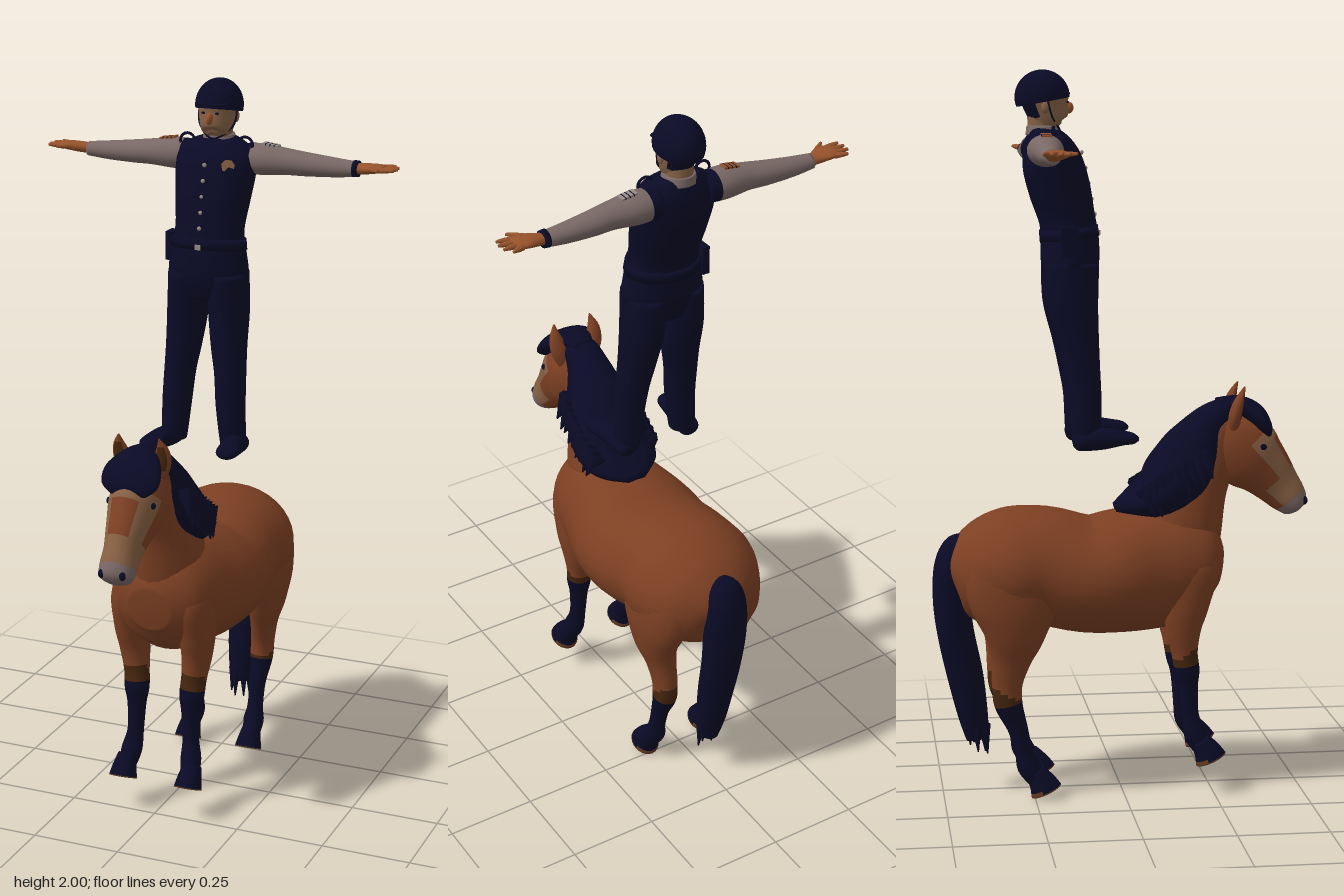
import * as THREE from 'three';

const mat = (name, color) => {
  const m = new THREE.MeshStandardMaterial({ color });
  m.name = name;
  return m;
};

export function createModel() {
  const coat = mat('chestnut coat', 0x7d4023), darkCoat = mat('dark coat', 0x47260f);
  const navy = mat('navy', 0x0a0a26), blaze = mat('pale blaze', 0x876043);
  const muzzle = mat('grey muzzle', 0x7a6866), hoofMat = mat('hoof brown', 0x643c22);
  const skin = mat('hand skin', 0x96522b), face = mat('face skin', 0x876347);
  const sleeve = mat('sleeve grey', 0x796865), metal = mat('pale metal', 0x968a84);
  navy.side = THREE.DoubleSide; // the helmet shell is open below

  const root = new THREE.Group();
  const group = (name) => {
    const g = new THREE.Group();
    g.name = name;
    root.add(g);
    return g;
  };
  const horse = group('horse'), rider = group('rider');
  const X = new THREE.Vector3(1, 0, 0), Z = new THREE.Vector3(0, 0, 1);

  // Smooth skin over elliptical sections [x, y, z, half width along side, half depth].
  // paint(u, sin) picks a material index from section position and ring angle.
  function loft(parent, name, sections, mats, { side = X, seg = 24, steps = 5, paint = () => 0 } = {}) {
    const n = sections.length - 1, rings = n * steps + 1;
    const sample = (k, c) => {
      const i = Math.min(Math.floor(k / steps), n - 1), f = k / steps - i;
      const at = (q) => sections[Math.max(0, Math.min(n, q))][c];
      const [a, b, d, e] = [at(i - 1), at(i), at(i + 1), at(i + 2)];
      return b + 0.5 * f * (d - a + f * (2 * a - 5 * b + 4 * d - e + f * (3 * (b - d) + e - a)));
    };
    const centre = [...Array(rings).keys()].map((k) => new THREE.Vector3(sample(k, 0), sample(k, 1), sample(k, 2)));
    const pos = [], buckets = [].concat(mats).map(() => []);
    centre.forEach((p, k) => {
      const t = centre[Math.min(k + 1, rings - 1)].clone().sub(centre[Math.max(k - 1, 0)]).normalize();
      const U = side.clone().addScaledVector(t, -side.dot(t)).normalize();
      const V = t.clone().cross(U);
      const a = Math.max(sample(k, 3), 0.001), b = Math.max(sample(k, 4), 0.001);
      for (let j = 0; j < seg; j++) {
        const w = (j / seg) * Math.PI * 2;
        const v = p.clone().addScaledVector(U, a * Math.cos(w)).addScaledVector(V, b * Math.sin(w));
        pos.push(v.x, v.y, v.z);
      }
    });
    const id = (k, j) => k * seg + (j % seg), first = rings * seg;
    pos.push(...centre[0].toArray(), ...centre[rings - 1].toArray());
    for (let j = 0; j < seg; j++) {
      const s = Math.sin(((j + 0.5) / seg) * Math.PI * 2);
      for (let k = 0; k < rings - 1; k++) {
        buckets[paint((k + 0.5) / steps, s)].push(
          id(k, j), id(k, j + 1), id(k + 1, j + 1), id(k, j), id(k + 1, j + 1), id(k + 1, j));
      }
      buckets[paint(0, s)].push(first, id(0, j + 1), id(0, j));
      buckets[paint(n, s)].push(first + 1, id(rings - 1, j), id(rings - 1, j + 1));
    }
    const g = new THREE.BufferGeometry();
    g.setAttribute('position', new THREE.Float32BufferAttribute(pos, 3));
    g.setIndex(buckets.flat());
    let start = 0;
    if (buckets.length > 1) buckets.forEach((b, i) => { g.addGroup(start, b.length, i); start += b.length; });
    g.computeVertexNormals();
    return add(parent, name, g, mats);
  }
  function add(parent, name, geo, m, p = [0, 0, 0], s = [1, 1, 1], r = [0, 0, 0]) {
    const mesh = new THREE.Mesh(geo, m);
    mesh.name = name;
    mesh.position.set(...p);
    mesh.scale.set(...s);
    mesh.rotation.set(...r);
    parent.add(mesh);
    return mesh;
  }
  const ball = new THREE.SphereGeometry(1, 20, 14);
  const mirror = (s, list) => list.map(([x, ...rest]) => [x * s, ...rest]);
  const strand = (name, p, q, r) => loft(horse, name, [[...p, r, r], [...q, 0.002, 0.002]], navy, { seg: 8, steps: 1 });

  // Horse trunk, neck and head
  loft(horse, 'body', [
    [0, 0.6, -0.47, 0.03, 0.04], [0, 0.605, -0.455, 0.095, 0.095], [0, 0.615, -0.4, 0.16, 0.14],
    [0, 0.632, -0.31, 0.193, 0.168], [0, 0.638, -0.22, 0.188, 0.165], [0, 0.612, -0.1, 0.2, 0.163],
    [0, 0.618, 0, 0.196, 0.172], [0, 0.63, 0.1, 0.167, 0.175], [0, 0.635, 0.18, 0.15, 0.16],
    [0, 0.63, 0.245, 0.122, 0.12], [0, 0.625, 0.28, 0.06, 0.06]], coat, { seg: 36 });
  loft(horse, 'neck', [
    [0, 0.65, 0.13, 0.12, 0.14], [0, 0.75, 0.16, 0.105, 0.13], [0, 0.86, 0.2, 0.08, 0.105],
    [0, 0.95, 0.245, 0.064, 0.088], [0, 1.02, 0.285, 0.055, 0.065], [0, 1.06, 0.31, 0.035, 0.03]], coat);
  loft(horse, 'head', [
    [0, 1.04, 0.28, 0.045, 0.035], [0, 0.995, 0.315, 0.068, 0.085], [0, 0.94, 0.36, 0.072, 0.1],
    [0, 0.895, 0.407, 0.06, 0.08], [0, 0.85, 0.447, 0.05, 0.063], [0, 0.815, 0.477, 0.05, 0.052],
    [0, 0.79, 0.495, 0.044, 0.038], [0, 0.78, 0.502, 0.018, 0.016]], [coat, blaze, muzzle], {
    seg: 32,
    paint: (u, s) => (u > 5 ? 2 : u > 3.6 && s > -0.6 ? 1 : u > 1.6 && s > 0.1 && (s < 0.85 || u < 2.2) ? 1 : 0),
  });

  // Mane and forelock
  loft(horse, 'mane', [
    [0, 0.795, -0.015, 0.03, 0.015], [0, 0.81, 0.035, 0.095, 0.04], [0, 0.835, 0.107, 0.114, 0.083],
    [0, 0.884, 0.163, 0.11, 0.098], [0, 0.955, 0.206, 0.087, 0.088], [0, 1.025, 0.25, 0.062, 0.058],
    [0, 1.065, 0.295, 0.048, 0.035], [0, 1.075, 0.33, 0.02, 0.015]], navy);
  loft(horse, 'forelock', [
    [0, 1.085, 0.27, 0.03, 0.015], [0, 1.08, 0.33, 0.055, 0.025], [0, 1.055, 0.375, 0.08, 0.03],
    [0, 1.02, 0.402, 0.08, 0.023], [0, 0.995, 0.412, 0.05, 0.012]], navy);

  for (const s of [1, -1]) {
    const sideName = s > 0 ? 'left' : 'right';
    for (let i = 0; i < 9; i++) {
      const z = 0.06 + i * 0.02, y = 0.83 + i * 0.013;
      strand(sideName + 'ManeLock', [s * 0.082, y + 0.03, z], [s * 0.108, y - 0.045 - 0.012 * (i % 2), z + 0.024], 0.03);
    }
    // Ears, eyes and nostrils
    loft(horse, sideName + 'Ear', mirror(s, [
      [0.042, 1.02, 0.31, 0.02, 0.016], [0.055, 1.06, 0.315, 0.026, 0.018],
      [0.062, 1.1, 0.325, 0.019, 0.013], [0.058, 1.137, 0.34, 0.002, 0.002]]), [coat, darkCoat],
    { seg: 16, paint: (u, a) => (u > 0.8 && u < 2.5 && a < -0.7 ? 1 : 0) });
    add(horse, sideName + 'Eye', ball, navy, [s * 0.064, 0.968, 0.392], [0.006, 0.009, 0.01]);
    add(horse, sideName + 'Nostril', ball, navy, [s * 0.03, 0.81, 0.516], [0.009, 0.012, 0.009]);

    // Front and hind legs
    loft(horse, sideName + 'FrontLeg', mirror(s, [
      [0.07, 0.71, 0.18, 0.03, 0.04], [0.09, 0.64, 0.18, 0.055, 0.083],
      [0.097, 0.54, 0.172, 0.05, 0.066], [0.094, 0.47, 0.166, 0.043, 0.05],
      [0.087, 0.4, 0.17, 0.036, 0.037], [0.083, 0.345, 0.178, 0.035, 0.035], [0.082, 0.3, 0.182, 0.027, 0.027],
      [0.084, 0.22, 0.187, 0.023, 0.024], [0.09, 0.165, 0.2, 0.029, 0.031], [0.095, 0.125, 0.222, 0.025, 0.027]]),
    [coat, darkCoat, navy], { paint: (u, a) => (u > 4.6 ? 2 : u > 4 - 0.3 * a ? 1 : 0) });
    loft(horse, sideName + 'HindLeg', mirror(s, [
      [0.075, 0.73, -0.3, 0.03, 0.06], [0.1, 0.66, -0.31, 0.075, 0.125], [0.115, 0.56, -0.305, 0.072, 0.125],
      [0.118, 0.47, -0.305, 0.055, 0.086],
      [0.108, 0.4, -0.315, 0.04, 0.058], [0.1, 0.33, -0.325, 0.034, 0.043], [0.097, 0.27, -0.322, 0.033, 0.039],
      [0.095, 0.2, -0.297, 0.024, 0.028], [0.095, 0.13, -0.28, 0.023, 0.025], [0.095, 0.09, -0.268, 0.03, 0.031],
      [0.097, 0.055, -0.245, 0.025, 0.027]]),
    [coat, darkCoat, navy], { paint: (u, a) => (u > 6 ? 2 : u > 5.5 + 0.4 * a ? 1 : 0) });
    [['FrontHoof', 0.099, 0.15, 0.212], ['HindHoof', 0.097, 0.075, -0.25]].forEach(([name, x, y, z]) =>
      loft(horse, sideName + name, mirror(s, [
        [x, y, z, 0.026, 0.027], [x, y - 0.033, z + 0.021, 0.034, 0.038], [x, y - 0.056, z + 0.032, 0.039, 0.045]]),
      [navy, hoofMat], { paint: (u, a) => (u > (a < -0.2 ? 1.4 : 1.8) ? 1 : 0) }));
  }

  // Tail with ragged tip
  loft(horse, 'tail', [
    [0, 0.715, -0.435, 0.025, 0.02], [0, 0.695, -0.462, 0.05, 0.032], [0, 0.64, -0.476, 0.061, 0.043],
    [0, 0.55, -0.472, 0.062, 0.051], [0, 0.45, -0.46, 0.057, 0.051], [0, 0.33, -0.435, 0.05, 0.05],
    [0, 0.22, -0.415, 0.042, 0.042], [0, 0.15, -0.402, 0.03, 0.032]], navy);
  for (let i = 0; i < 7; i++) {
    const w = i * 2.4, x = 0.025 * Math.cos(w), z = -0.403 + 0.024 * Math.sin(w);
    strand('tailLock', [x, 0.19, z], [x * 1.2, 0.105 + 0.012 * (i % 3), z + 0.005], 0.014);
  }

  // Rider's torso, belt and vest fittings
  loft(rider, 'torso', [
    [0, 1.41, -0.14, 0.08, 0.06], [0, 1.47, -0.138, 0.114, 0.078], [0, 1.54, -0.139, 0.107, 0.08],
    [0, 1.6, -0.146, 0.098, 0.077], [0, 1.68, -0.166, 0.107, 0.084], [0, 1.75, -0.186, 0.115, 0.082],
    [0, 1.8, -0.202, 0.112, 0.066], [0, 1.832, -0.21, 0.075, 0.045], [0, 1.845, -0.21, 0.035, 0.03]], navy, { seg: 32 });
  loft(rider, 'belt', [[0, 1.545, -0.139, 0.109, 0.082], [0, 1.575, -0.142, 0.105, 0.081]], navy, { steps: 2 });
  add(rider, 'buckle', new THREE.BoxGeometry(0.016, 0.014, 0.006), metal, [0, 1.56, -0.058]);
  add(rider, 'holster', new THREE.BoxGeometry(0.02, 0.08, 0.045), navy, [-0.115, 1.54, -0.15]);
  for (let i = 0; i < 5; i++) {
    add(rider, 'button', ball, metal, [0, 1.61 + i * 0.042, -0.069 - i * 0.0085 - (i > 3 ? 0.002 : 0)], [0.006, 0.006, 0.005]);
  }
  add(rider, 'badge', new THREE.CylinderGeometry(0.019, 0.019, 0.009, 7), blaze, [0.06, 1.775, -0.126], [1, 1, 1], [1.3, 0, -0.5]);

  // Neck, collar, head and helmet
  loft(rider, 'neck', [[0, 1.82, -0.215, 0.036, 0.036], [0, 1.9, -0.212, 0.038, 0.042]], face);
  loft(rider, 'collar', [[0, 1.825, -0.212, 0.052, 0.046], [0, 1.85, -0.212, 0.042, 0.043]], sleeve);
  loft(rider, 'head', [
    [0, 1.842, -0.175, 0.02, 0.022], [0, 1.856, -0.186, 0.04, 0.046], [0, 1.9, -0.2, 0.051, 0.06],
    [0, 1.94, -0.207, 0.054, 0.067], [0, 1.98, -0.21, 0.035, 0.045]], [face, navy],
  { paint: (u, s) => (u > 1.5 && s > 0.4 ? 1 : 0) });
  add(rider, 'nose', ball, skin, [0, 1.898, -0.14], [0.009, 0.016, 0.013]);
  add(rider, 'helmet', new THREE.SphereGeometry(1, 28, 16, 0, Math.PI * 2, 0, Math.PI * 0.56), navy,
    [0, 1.927, -0.212], [0.065, 0.073, 0.075], [-0.18, 0, 0]);
  add(rider, 'visor', ball, navy, [0, 1.937, -0.158], [0.05, 0.006, 0.022], [0.05, 0, 0]);
  const strap = new THREE.CatmullRomCurve3([[-0.056, 1.93, -0.205], [-0.049, 1.875, -0.19], [0, 1.84, -0.165],
    [0.049, 1.875, -0.19], [0.056, 1.93, -0.205]].map((p) => new THREE.Vector3(...p)));
  add(rider, 'chinStrap', new THREE.TubeGeometry(strap, 24, 0.003, 6), navy);

  for (const s of [1, -1]) {
    const sideName = s > 0 ? 'left' : 'right';
    add(rider, sideName + 'Eye', ball, navy, [s * 0.02, 1.913, -0.145], [0.006, 0.003, 0.004]);
    add(rider, sideName + 'Ear', ball, face, [s * 0.052, 1.9, -0.208], [0.007, 0.017, 0.011]);
    add(rider, sideName + 'ShoulderLoop', new THREE.TorusGeometry(0.022, 0.004, 6, 16), navy, [s * 0.085, 1.825, -0.19]);
    // Arm: vest armhole, then sleeve
    loft(rider, sideName + 'Arm', mirror(s, [
      [0.07, 1.785, -0.215, 0.045, 0.04], [0.13, 1.785, -0.215, 0.049, 0.043], [0.2, 1.783, -0.215, 0.04, 0.036],
      [0.26, 1.779, -0.219, 0.036, 0.032], [0.34, 1.776, -0.222, 0.029, 0.026], [0.4, 1.776, -0.222, 0.023, 0.02]]),
    [navy, sleeve], { side: Z, paint: (u) => (u < 0.7 ? 0 : 1) });
    // Striped shoulder patch
    for (let i = 0; i < 7; i++) {
      add(rider, sideName + 'ShoulderPatch', new THREE.BoxGeometry(i % 2 ? 0.003 : 0.009, 0.006, 0.027), i % 2 ? navy : s > 0 ? metal : skin,
        [s * (0.134 + i * 0.006), 1.8285 - i * 0.0008, -0.215], [1, 1, 1], [0, 0, -s * 0.12]);
    }
    // Hand with spread fingers
    loft(rider, sideName + 'Palm', mirror(s, [
      [0.385, 1.777, -0.222, 0.017, 0.014], [0.415, 1.779, -0.22, 0.022, 0.015], [0.445, 1.782, -0.216, 0.033, 0.013],
      [0.47, 1.784, -0.216, 0.031, 0.01], [0.478, 1.784, -0.216, 0.02, 0.006]]), skin, { side: Z, seg: 16 });
    [[0.465, -0.24, 0.497, -0.254], [0.468, -0.225, 0.512, -0.232], [0.468, -0.209, 0.515, -0.209],
      [0.465, -0.194, 0.51, -0.188], [0.425, -0.205, 0.472, -0.166]].forEach(([x, z, x2, z2]) =>
      loft(rider, sideName + 'Finger', mirror(s, [[x, 1.782, z, 0.009, 0.008],
        [(x + x2) / 2, 1.784, (z + z2) / 2, 0.008, 0.007], [x2, 1.785, z2, 0.004, 0.004]]), skin, { side: Z, seg: 8, steps: 3 }));
    // Trouser leg and shoe
    loft(rider, sideName + 'Leg', mirror(s, [
      [0.058, 1.48, -0.138, 0.055, 0.074], [0.061, 1.38, -0.138, 0.056, 0.071], [0.067, 1.28, -0.125, 0.05, 0.059],
      [0.075, 1.2, -0.115, 0.044, 0.051], [0.08, 1.12, -0.106, 0.042, 0.045], [0.086, 1.04, -0.104, 0.038, 0.042],
      [0.09, 1.0, -0.104, 0.036, 0.04]]), navy);
    loft(rider, sideName + 'Shoe', mirror(s, [
      [0.098, 0.995, -0.142, 0.015, 0.012], [0.099, 0.998, -0.125, 0.029, 0.026], [0.106, 1.006, -0.06, 0.03, 0.03],
      [0.114, 1.008, -0.005, 0.033, 0.02], [0.117, 1.006, 0.022, 0.026, 0.015], [0.118, 1.004, 0.037, 0.006, 0.005]]), navy);
  }
  // Wristwatch
  loft(rider, 'watch', [[0.388, 1.777, -0.222, 0.027, 0.023], [0.402, 1.777, -0.222, 0.025, 0.022]], navy, { side: Z, steps: 1 });

  return root;
}
